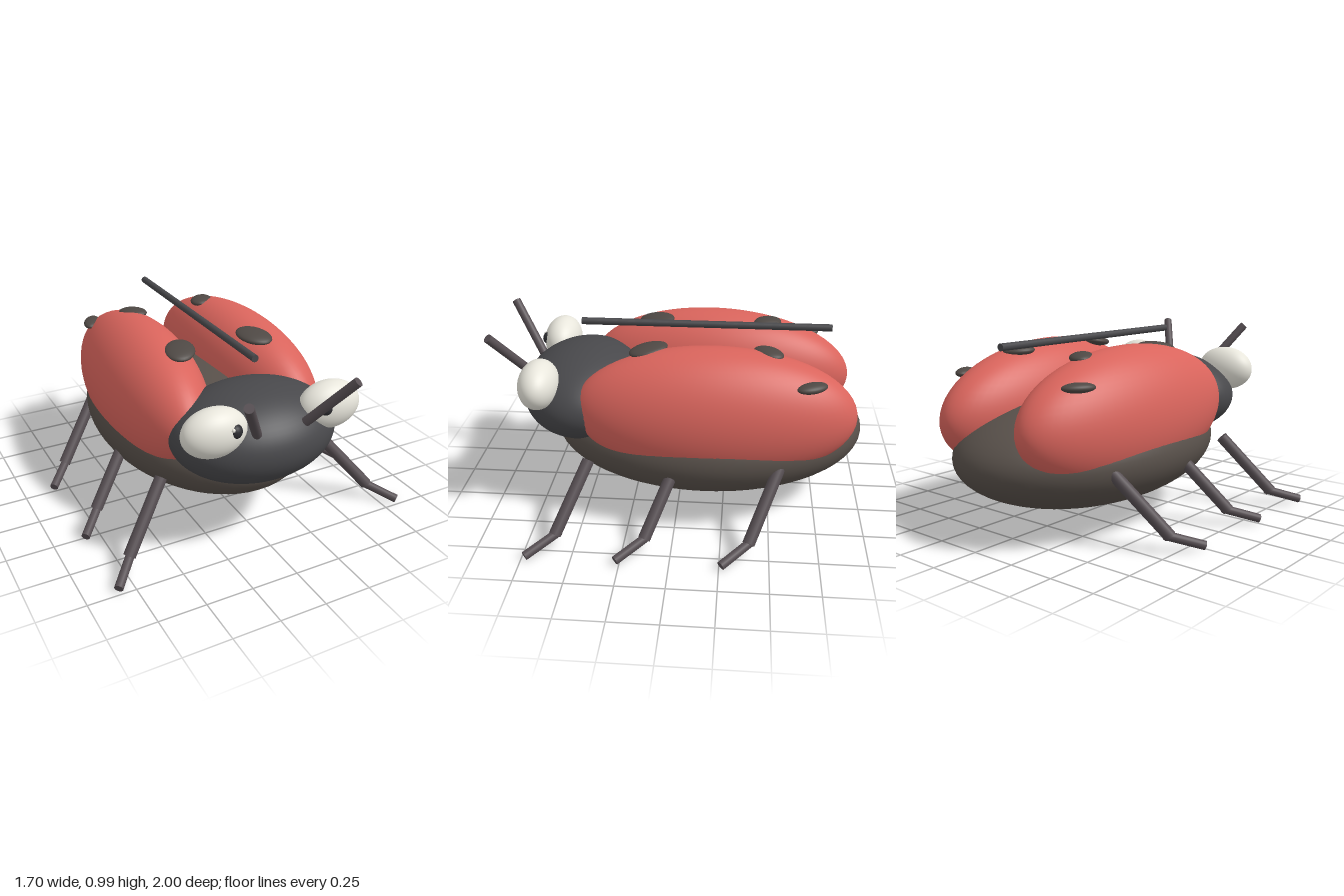
import * as THREE from 'three';

const paint = (color) => new THREE.MeshStandardMaterial({ color });
const red = paint(0xd9645c);
const brown = paint(0x58504a);
const charcoal = paint(0x48484b);
const limb = paint(0x564e52);
const spotGrey = paint(0x4e4844);
const white = paint(0xe8e6dc);
const black = paint(0x2c2c30);

// Ellipsoid with given centre, radii and rotation
function ellipsoid(name, material, centre, radii, rotation = [0, 0, 0], detail = 48) {
  const mesh = new THREE.Mesh(new THREE.SphereGeometry(1, detail, detail / 2), material);
  mesh.name = name;
  mesh.position.set(...centre);
  mesh.scale.set(...radii);
  mesh.rotation.set(...rotation);
  return mesh;
}

// Round rod running from point a to point b
function rod(name, material, a, b, rA, rB = rA) {
  const start = new THREE.Vector3(...a);
  const end = new THREE.Vector3(...b);
  const dir = end.clone().sub(start);
  const mesh = new THREE.Mesh(new THREE.CylinderGeometry(rB, rA, dir.length(), 20), material);
  mesh.name = name;
  mesh.position.copy(start).add(end).multiplyScalar(0.5);
  mesh.quaternion.setFromUnitVectors(new THREE.Vector3(0, 1, 0), dir.normalize());
  return mesh;
}

export function createModel() {
  const model = new THREE.Group();
  model.name = 'beetle';

  // Body, head and the rod above the back
  model.add(ellipsoid('body', brown, [0, 0.4, -0.15], [0.57, 0.31, 0.85], [0, 0, 0], 64));
  model.add(ellipsoid('head', charcoal, [0, 0.592, 0.53], [0.445, 0.243, 0.345], [0, 0, 0], 64));
  model.add(rod('backRod', charcoal, [0, 0.975, -0.8], [0, 0.975, 0.54], 0.019));

  // Spots on one wing case: centre, radii, tilt, yaw
  const spots = [
    [[0.22, 0.913, 0.155], [0.08, 0.027, 0.105], 0.14, 0.5],
    [[0.22, 0.913, -0.465], [0.062, 0.027, 0.085], -0.06, -0.65],
    [[0.395, 0.807, -0.685], [0.045, 0.025, 0.085], 0, 0.5],
  ];

  for (const s of [1, -1]) {
    const side = s > 0 ? 'left' : 'right';

    // Wing case with its spots
    const wing = new THREE.Group();
    wing.name = side + 'WingCase';
    wing.add(ellipsoid('shell', red, [s * 0.297, 0.603, -0.2], [0.267, 0.352, 0.74],
      [-0.03, s * 0.045, s * 0.13], 64));
    for (const [[x, y, z], radii, tilt, yaw] of spots) {
      wing.add(ellipsoid('spot', spotGrey, [s * x, y, z], radii, [tilt, s * yaw, 0], 32));
    }
    model.add(wing);

    // Eye with pupil and glint
    const eye = new THREE.Group();
    eye.name = side + 'Eye';
    eye.add(ellipsoid('eyeball', white, [s * 0.32, 0.74, 0.722], [0.17, 0.125, 0.105]));
    eye.add(ellipsoid('pupil', black, [s * 0.25, 0.763, 0.793], [0.038, 0.038, 0.036], [0, 0, 0], 24));
    eye.add(ellipsoid('glint', white, [s * 0.25 - 0.02, 0.783, 0.817], [0.01, 0.01, 0.01], [0, 0, 0], 12));
    model.add(eye);

    // Antenna
    model.add(rod(side + 'Antenna', limb, [s * 0.135, 0.72, 0.8], [s * 0.288, 0.975, 0.978], 0.024));

    // Three identical legs stepped along the body
    [['front', 0.45], ['middle', -0.01], ['rear', -0.54]].forEach(([place, z]) => {
      const leg = new THREE.Group();
      leg.name = place + side[0].toUpperCase() + side.slice(1) + 'Leg';
      leg.add(rod('upperLeg', limb, [s * 0.475, 0.385, z], [s * 0.72, 0.08, z + 0.145], 0.032));
      leg.add(rod('foot', limb, [s * 0.7, 0.088, z + 0.125], [s * 0.833, 0.023, z + 0.28], 0.023));
      model.add(leg);
    });
  }

  return model;
}
